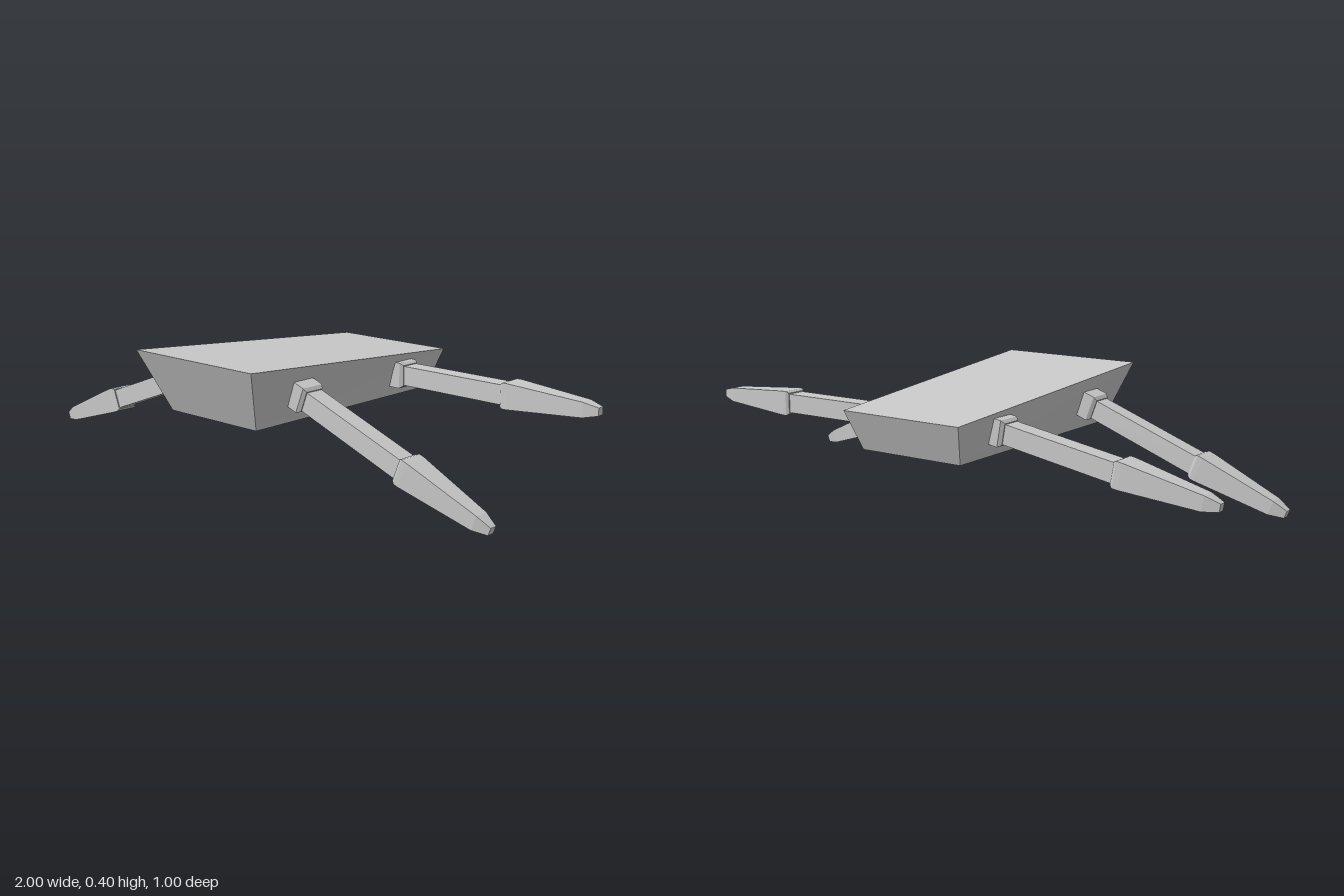
import * as THREE from 'three';

const grey = new THREE.MeshStandardMaterial({ color: 0xcacaca, flatShading: true });
grey.name = 'light grey';

// Square-section solid lofted along +y from [half width, distance] pairs
function squareLoft(name, profile) {
  const points = profile.map(([half, s]) => new THREE.Vector2(half * Math.SQRT2, s));
  const geometry = new THREE.LatheGeometry(points, 4, Math.PI / 4);
  const mesh = new THREE.Mesh(geometry, grey);
  mesh.name = name;
  return mesh;
}

// Leg running from a hip point to a foot tip, at a constant depth
function makeLeg(name, hip, tip, z) {
  const leg = new THREE.Group();
  leg.name = name;
  const dx = tip[0] - hip[0], dy = tip[1] - hip[1];
  const length = Math.hypot(dx, dy);
  const knee = length - 0.345;
  leg.add(
    squareLoft('hipJoint', [[0, -0.04], [0.036, -0.04], [0.044, -0.03], [0.044, 0.014], [0.036, 0.026], [0, 0.026]]),
    squareLoft('upperLeg', [[0, 0], [0.033, 0], [0.033, knee + 0.02], [0, knee + 0.02]]),
    squareLoft('lowerLeg', [[0, knee], [0.037, knee], [0.043, knee + 0.01], [0.043, knee + 0.028],
      [0.025, length - 0.05], [0.013, length], [0, length]]),
  );
  leg.position.set(hip[0], hip[1], z);
  leg.rotation.z = Math.atan2(dy, dx) - Math.PI / 2;
  return leg;
}

// Wedge body: flat base, flared sides, top sloping down to the back
function makeBody() {
  const geometry = new THREE.BoxGeometry(1, 1, 1);
  const p = geometry.attributes.position;
  for (let i = 0; i < p.count; i++) {
    const top = p.getY(i) > 0, front = p.getZ(i) > 0;
    const half = top ? (front ? 0.267 : 0.23) : 0.196;
    const y = top ? (front ? 0.404 : 0.33) : 0.196;
    const z = top ? (front ? 0.5 : -0.5) : (front ? 0.41 : -0.445);
    p.setXYZ(i, Math.sign(p.getX(i)) * half - 0.004, y, z);
  }
  geometry.computeVertexNormals();
  const body = new THREE.Mesh(geometry, grey);
  body.name = 'body';
  return body;
}

export function createModel() {
  const model = new THREE.Group();
  model.name = 'fourLeggedMachine';
  model.add(
    makeBody(),
    makeLeg('frontLeftLeg', [0.248, 0.288], [0.971, 0.014], 0.243),
    makeLeg('frontRightLeg', [-0.258, 0.286], [-0.983, 0.013], 0.243),
    makeLeg('rearLeftLeg', [0.23, 0.277], [1.0, 0.274], -0.272),
    makeLeg('rearRightLeg', [-0.24, 0.282], [-0.998, 0.152], -0.272),
  );
  return model;
}
